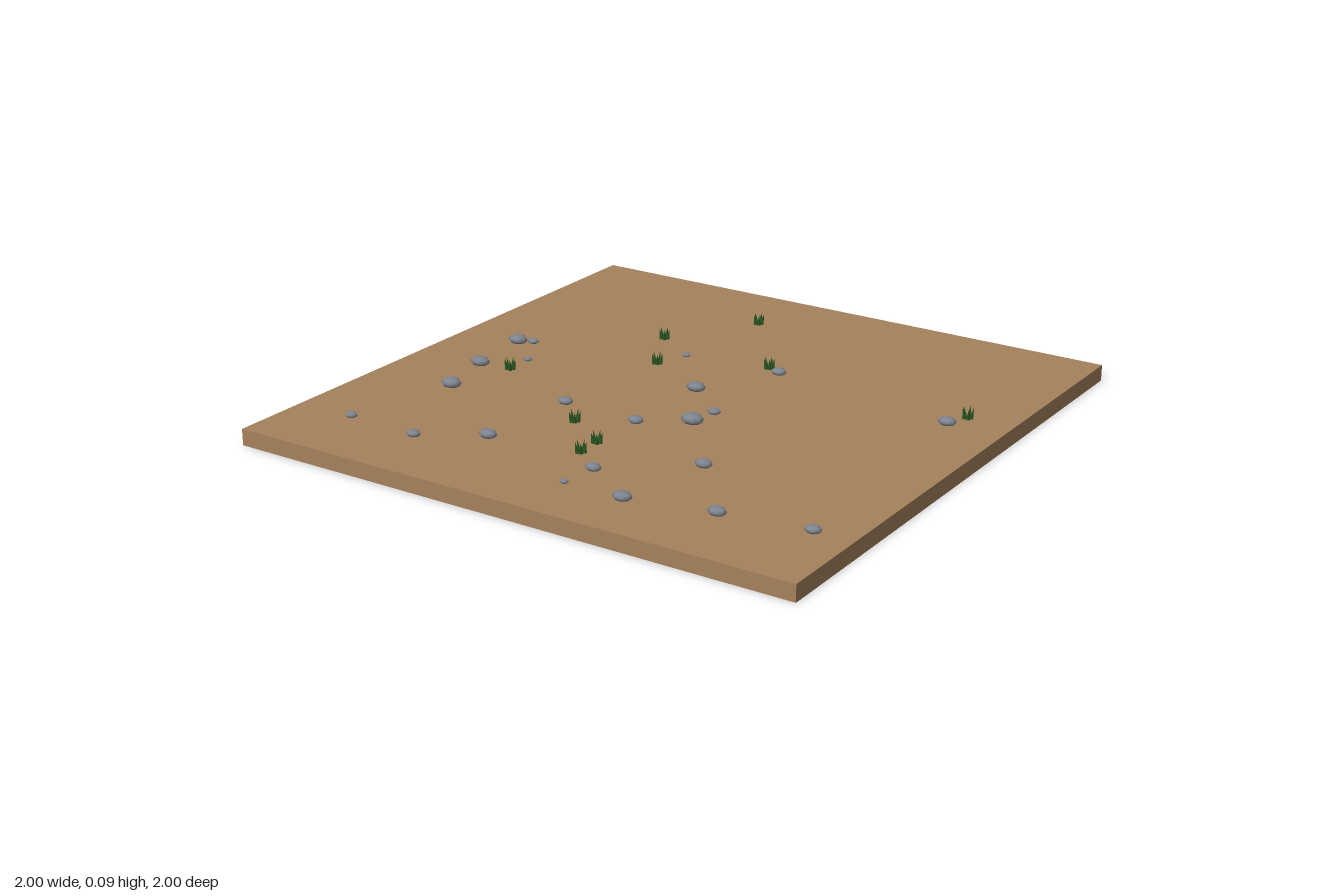
import * as THREE from 'three';

const TOP = 0.055;

export function createModel() {
  const mat = (name, color) => {
    const m = new THREE.MeshStandardMaterial({ color });
    m.name = name;
    return m;
  };
  const soil = mat('soil brown', 0xa5825d);
  const stone = mat('stone grey', 0x7d848f);
  const leaf = mat('grass green', 0x2a5a24);
  const model = new THREE.Group();
  model.name = 'groundTile';

  // Flat square slab of earth
  const slab = new THREE.Mesh(new THREE.BoxGeometry(2, TOP, 2), soil);
  slab.name = 'groundSlab';
  slab.position.y = TOP / 2;
  model.add(slab);

  // Scattered pebbles: x, z, half width
  const pebbles = [
    [-0.77, -0.107, 0.033], [-0.722, -0.131, 0.019], [-0.632, 0.019, 0.015],
    [-0.743, 0.136, 0.033], [-0.695, 0.348, 0.034], [-0.291, 0.27, 0.025],
    [-0.008, -0.059, 0.031], [-0.01, 0.283, 0.025], [0.155, 0.085, 0.021],
    [0.139, 0.187, 0.036], [0.141, -0.332, 0.025], [-0.209, -0.307, 0.014],
    [0.811, -0.238, 0.028], [0.36, 0.463, 0.027], [-0.321, 0.631, 0.029],
    [-0.784, 0.735, 0.02], [-0.519, 0.75, 0.023], [0.101, 0.665, 0.025],
    [0.086, 0.791, 0.014], [0.297, 0.796, 0.03], [0.582, 0.735, 0.028],
    [0.87, 0.69, 0.025],
  ];
  const pebbleGeo = new THREE.SphereGeometry(1, 8, 6).rotateY(Math.PI / 8);
  pebbleGeo.scale(1.06, 0.52, 0.86);
  pebbles.forEach(([x, z, r], i) => {
    const p = new THREE.Mesh(pebbleGeo, stone);
    p.name = `pebble${i + 1}`;
    p.scale.setScalar(r);
    p.position.set(x, TOP + r * 0.36, z);
    model.add(p);
  });

  // Grass tufts: five pointed blades leaning outwards
  const tufts = [
    [-0.178, -0.723], [-0.37, -0.415], [0.086, -0.36], [-0.252, -0.195],
    [0.842, -0.318], [-0.631, 0.118], [-0.172, 0.383], [-0.013, 0.487],
    [-0.008, 0.577],
  ];
  const bladeGeo = new THREE.ConeGeometry(0.0075, 0.038, 5).translate(0, 0.019, 0);
  tufts.forEach(([x, z], i) => {
    const tuft = new THREE.Group();
    tuft.name = `grassTuft${i + 1}`;
    tuft.position.set(x, TOP, z);
    for (let k = 0; k < 5; k++) {
      const arm = new THREE.Group();
      arm.rotation.y = (k * Math.PI * 2) / 5;
      const blade = new THREE.Mesh(bladeGeo, leaf);
      blade.name = 'grassBlade';
      blade.position.z = -0.011;
      blade.rotation.x = -0.2;
      arm.add(blade);
      tuft.add(arm);
    }
    model.add(tuft);
  });

  return model;
}
